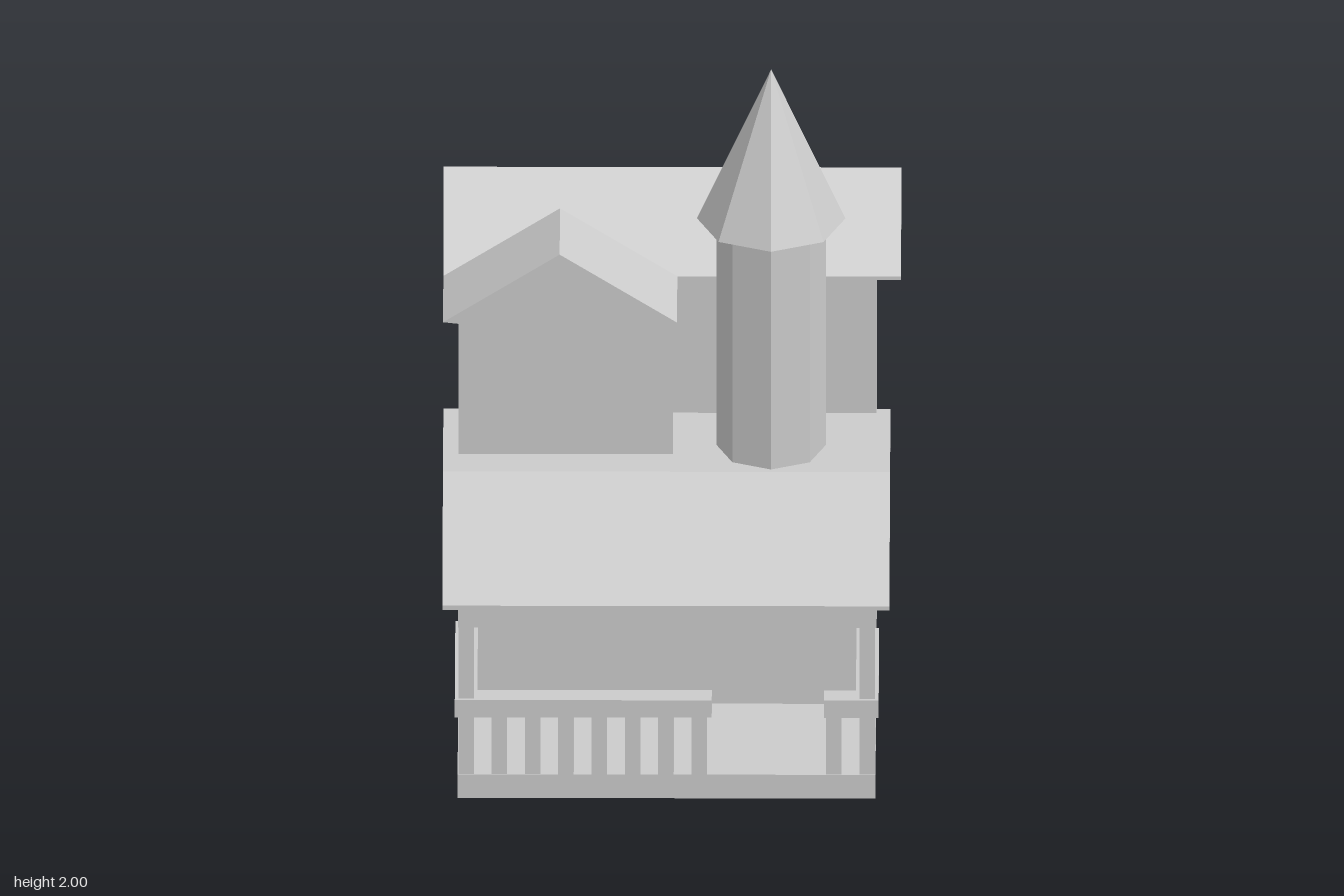
import * as THREE from 'three';

const mat = new THREE.MeshStandardMaterial({ color: 0xcccccc, flatShading: true });
const wallMat = new THREE.MeshStandardMaterial({ color: 0xcccccc, flatShading: true, side: THREE.DoubleSide });

export function createModel() {
  const model = new THREE.Group();

  const add = (name, geometry, parent = model, material = mat) => {
    const mesh = new THREE.Mesh(geometry, material);
    mesh.name = name;
    parent.add(mesh);
    return mesh;
  };

  // Box given by its limits
  const box = (name, x0, x1, y0, y1, z0, z1, parent) => {
    const g = new THREE.BoxGeometry(x1 - x0, y1 - y0, z1 - z0);
    g.translate((x0 + x1) / 2, (y0 + y1) / 2, (z0 + z1) / 2);
    return add(name, g, parent);
  };

  // Profile of (x, y) points swept along z, or (z, y) points swept along x
  const prism = (points, axis, from, to) => {
    const shape = new THREE.Shape(points.map(([a, b]) => new THREE.Vector2(a, b)));
    const g = new THREE.ExtrudeGeometry(shape, { depth: to - from, bevelEnabled: false });
    if (axis === 'x') g.rotateY(-Math.PI / 2).translate(to, 0, 0);
    else g.translate(0, 0, from);
    return g;
  };

  // Leave out the flat side lying at the given coordinate (0 = x, 1 = y, 2 = z)
  const openSide = (g, axis, value) => {
    const p = g.attributes.position;
    const kept = [];
    for (let i = 0; i < p.count; i += 3) {
      const flat = [0, 1, 2].every(k => Math.abs(p.getComponent(i + k, axis) - value) < 1e-4);
      if (flat) continue;
      for (let k = 0; k < 3; k++) kept.push(p.getX(i + k), p.getY(i + k), p.getZ(i + k));
    }
    const out = new THREE.BufferGeometry();
    out.setAttribute('position', new THREE.Float32BufferAttribute(kept, 3));
    out.computeVertexNormals();
    return out;
  };

  // House body: deep ground floor, narrower gabled upper floor, open underneath
  const body = prism([[0.17, 0], [0.17, 0.8], [-0.2, 0.8], [-0.2, 1.24], [-0.44, 1.44],
    [-0.68, 1.24], [-0.68, 0]], 'x', -0.607, 0.575);
  add('houseWalls', openSide(body, 1, 0), model, wallMat);
  add('mainRoof', prism([[-0.185, 1.25], [-0.445, 1.465], [-0.705, 1.25], [-0.685, 1.24],
    [-0.44, 1.437], [-0.185, 1.24]], 'x', -0.65, 0.645));

  // Front wing with its own gable
  const wing = prism([[-0.607, 0.8], [0, 0.8], [0, 1.24], [-0.307, 1.44], [-0.607, 1.24]], 'z', -0.2, 0.06);
  add('wingWalls', openSide(wing, 2, -0.2), model, wallMat);
  add('wingRoof', prism([[-0.65, 1.25], [-0.32, 1.465], [0.012, 1.25], [0.012, 1.238],
    [-0.307, 1.442], [-0.607, 1.245]], 'z', -0.185, 0.105));
  const soffit = new THREE.BufferGeometry();
  soffit.setAttribute('position', new THREE.Float32BufferAttribute(
    [-0.65, 1.46, -0.44, -0.32, 1.46, -0.185, -0.65, 1.25, -0.185], 3));
  soffit.computeVertexNormals();
  add('roofSoffit', soffit);

  // Octagonal tower with a pointed roof
  const tower = new THREE.Group();
  tower.name = 'tower';
  tower.position.set(0.278, 0, 0);
  model.add(tower);
  add('towerShaft', new THREE.CylinderGeometry(0.155, 0.155, 0.73, 8).translate(0, 1.165, 0), tower);
  add('towerRoof', new THREE.ConeGeometry(0.21, 0.472, 8).translate(0, 1.764, 0), tower);

  // Porch floor, sloping roof and the beam frame under it
  const porch = new THREE.Group();
  porch.name = 'porch';
  model.add(porch);
  box('porchFloor', -0.607, 0.575, 0, 0.075, 0.17, 0.615, porch);
  add('porchRoof', prism([[0.705, 0.655], [0.17, 0.81], [-0.225, 0.81], [-0.225, 0.797],
    [0.17, 0.797], [0.705, 0.642]], 'x', -0.65, 0.615), porch);
  add('porchBeam', prism([[0.675, 0.61], [0.675, 0.65], [0.17, 0.797], [0.17, 0.75]],
    'x', -0.605, 0.573), porch);

  // Corner posts, side rails and side balusters
  for (const [x, railEnd] of [[-0.583, 0.13], [0.552, 0.17]]) {
    box('porchPost', x - 0.022, x + 0.022, 0.075, 0.64, 0.57, 0.614, porch);
    box('sideRail', x - 0.032, x + 0.032, 0.26, 0.315, railEnd, 0.62, porch);
    for (let i = 1; i < 5; i++) {
      const z = 0.59 - i * 0.0935;
      box('sideBaluster', x - 0.022, x + 0.022, 0.075, 0.26, z - 0.022, z + 0.022, porch);
    }
  }

  // Front rails on both sides of the entrance
  for (const [x0, x1] of [[-0.615, 0.112], [0.43, 0.584]])
    box('frontRail', x0, x1, 0.26, 0.315, 0.56, 0.624, porch);
  const frontBalusters = Array.from({ length: 7 }, (_, i) => -0.489 + i * 0.0943).concat(0.457);
  for (const x of frontBalusters)
    box('frontBaluster', x - 0.022, x + 0.022, 0.075, 0.26, 0.57, 0.614, porch);

  return model;
}
